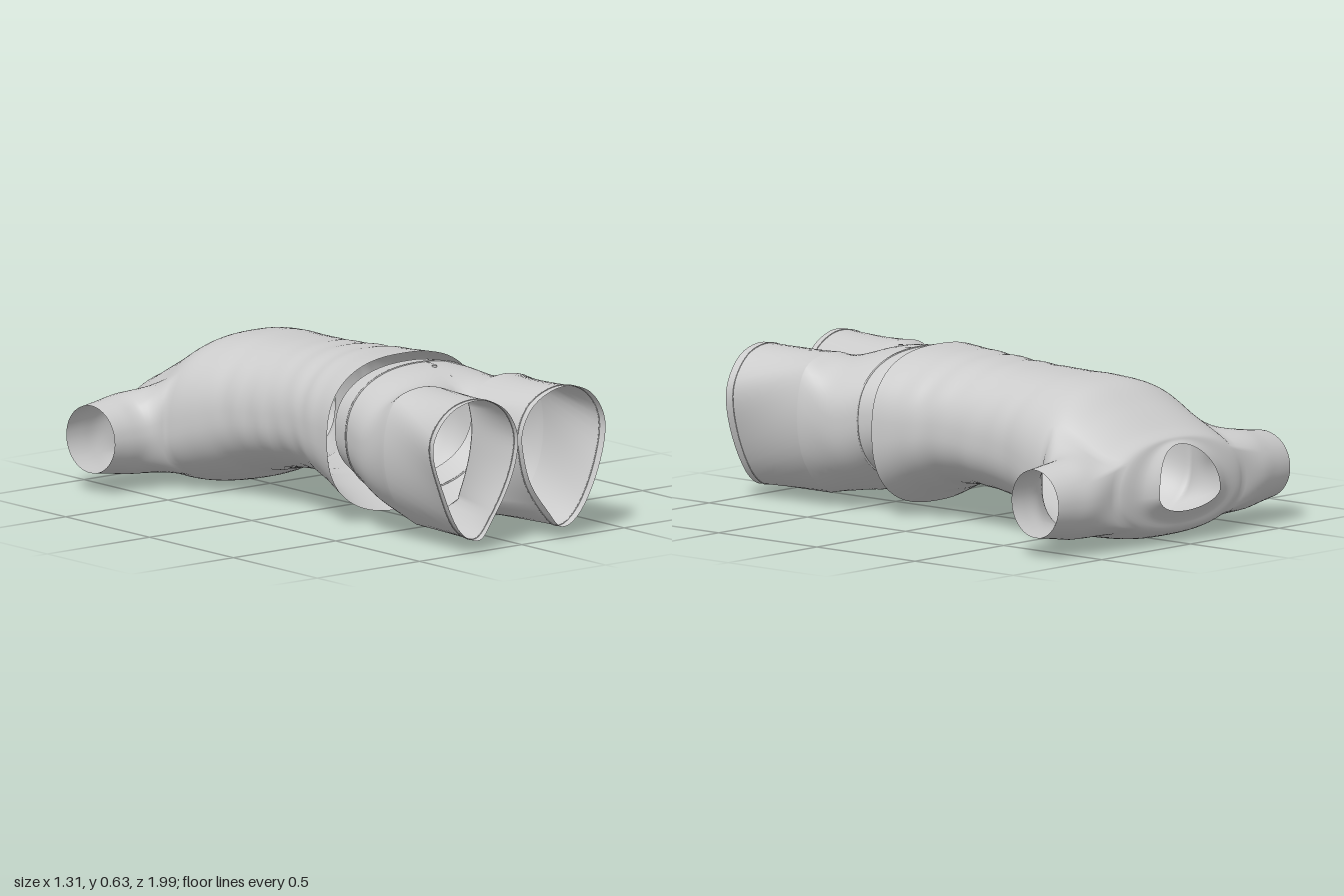
import * as THREE from 'three';
import { mergeGeometries, mergeVertices } from 'three/addons/utils/BufferGeometryUtils.js';

const V = (x, y, z) => new THREE.Vector3(x, y, z);
const cloth = new THREE.MeshStandardMaterial({ color: 0xcccccc, side: THREE.DoubleSide });
const COLS = 35;

// Left half of a body cross-section, running from front centre over +x to back centre
function halfRing([z, w, top, mid, bottom, n = 2.3, dip = 0, backDip = 0], cols = COLS) {
  return Array.from({ length: cols + 1 }, (_, j) => {
    const a = Math.PI * (0.5 - j / cols);
    const c = j === 0 || j === cols ? 0 : Math.cos(a), s = Math.sin(a);
    const x = w * Math.pow(c, 2 / n);
    const k = Math.sign(s) * Math.pow(Math.abs(s), 2 / n);
    const y = mid + k * (s > 0 ? top - mid : mid - bottom);
    return V(x, y, z + (s > 0 ? dip : backDip) * s * s);
  });
}

// Smooth rows of points through a list of rings, "sub" rows per gap
function loft(rings, sub) {
  const rows = Array.from({ length: (rings.length - 1) * sub + 1 }, () => []);
  rings[0].forEach((_, j) => {
    const curve = new THREE.CatmullRomCurve3(rings.map(r => r[j]));
    rows.forEach((row, i) => row.push(curve.getPoint(i / (rows.length - 1))));
  });
  return rows;
}

// Surface over rows of points; skip(i, j) leaves a hole
function sheet(rows, skip = () => false) {
  const n = rows[0].length, index = [];
  for (let i = 0; i < rows.length - 1; i++) {
    for (let j = 0; j < n - 1; j++) {
      if (skip(i, j)) continue;
      const a = i * n + j, b = a + n;
      index.push(a, b, b + 1, a, b + 1, a + 1);
    }
  }
  const g = new THREE.BufferGeometry().setFromPoints(rows.flat());
  return g.setIndex(index);
}

// Mirror half sheets across x = 0 and weld them into one smooth garment
function garment(name, halves) {
  const mirrored = halves.map(g => {
    const m = g.clone().scale(-1, 1, 1);
    m.setIndex(Array.from(g.index.array).reverse());
    return m;
  });
  const geo = mergeVertices(mergeGeometries([...halves, ...mirrored]), 1e-4);
  geo.deleteAttribute('normal');
  geo.computeVertexNormals();
  const mesh = new THREE.Mesh(geo, cloth);
  mesh.name = name;
  return mesh;
}

function cord(name, points, closed, radius) {
  const curve = new THREE.CatmullRomCurve3(points, closed);
  const mesh = new THREE.Mesh(new THREE.TubeGeometry(curve, points.length * 2, radius, 5, closed), cloth);
  mesh.name = name;
  return mesh;
}

function makeShirt() {
  // z, half width, front y, widest y, back y, squareness, front dip, back dip
  const sections = [
    [-0.998, 0.17, 0.38, 0.2, 0.13, 2, 0.055, 0.018],
    [-0.967, 0.24, 0.39, 0.2, 0.09, 2, 0.04, 0.01],
    [-0.94, 0.36, 0.405, 0.21, 0.05, 2.3, 0.025],
    [-0.86, 0.41, 0.43, 0.21, 0.02, 2.4],
    [-0.74, 0.41, 0.505, 0.22, 0.005, 2.4],
    [-0.62, 0.415, 0.575, 0.24, 0.006, 2.4],
    [-0.5, 0.39, 0.595, 0.28, 0.03],
    [-0.35, 0.347, 0.598, 0.32, 0.085],
    [-0.15, 0.327, 0.605, 0.34, 0.125],
    [0.02, 0.33, 0.615, 0.36, 0.13],
    [0.12, 0.345, 0.622, 0.35, 0.105],
    [0.29, 0.37, 0.63, 0.34, 0.03, 2.5],
  ];
  const sub = 6, cols = 40;
  const rows = loft(sections.map(s => halfRing(s, cols)), sub);

  // Soft creases around the waist
  rows.flat().forEach(p => {
    const fade = THREE.MathUtils.smoothstep(p.z, -0.5, -0.3) * (1 - THREE.MathUtils.smoothstep(p.z, 0.1, 0.28));
    const k = 1 + 0.009 * fade * Math.sin(p.z * 48 + p.y * 9) * Math.sin(p.y * 8 + p.z * 5);
    p.x *= k;
    p.y = 0.35 + (p.y - 0.35) * k;
  });

  // Armhole, then a sleeve running from its rim to the cuff
  const r0 = 2 * sub, r1 = 5 * sub, c0 = 12, c1 = 31, rim = [];
  for (let c = c1; c > c0; c--) rim.push(rows[r1][c]);
  for (let r = r1; r > r0; r--) rim.push(rows[r][c0]);
  for (let c = c0; c < c1; c++) rim.push(rows[r0][c]);
  for (let r = r0; r <= r1; r++) rim.push(rows[r][c1]);
  const sleeveRing = (x, cy, cz, ry, rz, lean) => rim.map(p => {
    const a = Math.atan2((p.y - 0.22) / 0.19, (p.z + 0.785) / 0.16);
    return V(x - lean * Math.cos(a), cy + ry * Math.sin(a), cz + rz * Math.cos(a));
  });
  const sleeve = loft([
    rim,
    sleeveRing(0.475, 0.21, -0.796, 0.155, 0.15, 0),
    sleeveRing(0.56, 0.21, -0.793, 0.142, 0.138, 0.005),
    sleeveRing(0.642, 0.21, -0.788, 0.13, 0.13, 0.012),
  ], 5);
  const armhole = (i, j) => i >= r0 && i < r1 && j >= c0 && j < c1;
  return garment('shirt', [sheet(rows, armhole), sheet(sleeve)]);
}

function makeShorts() {
  const group = new THREE.Group();
  group.name = 'shorts';
  // Closed leg outline: eight outer points, then three along the inner thigh
  const legRing = pts => {
    const curve = new THREE.CatmullRomCurve3(pts.map(p => V(...p)), true);
    return Array.from({ length: 56 }, (_, j) => {
      const p = curve.getPoint((j % 55) / 55);
      p.x = Math.max(0, p.x);
      return p;
    });
  };
  const crotch = legRing([
    [0, 0.5, 0.68], [0.1, 0.565, 0.66], [0.22, 0.582, 0.65], [0.34, 0.54, 0.65],
    [0.39, 0.38, 0.65], [0.35, 0.18, 0.65], [0.2, 0.045, 0.65], [0, 0.12, 0.62],
    [0, 0.22, 0.66], [0, 0.32, 0.69], [0, 0.42, 0.7],
  ]);
  const hem = legRing([
    [0.07, 0.53, 0.99], [0.2, 0.585, 0.995], [0.34, 0.55, 0.99], [0.42, 0.43, 0.985],
    [0.375, 0.24, 0.995], [0.28, 0.075, 0.99], [0.2, 0.045, 0.995], [0.13, 0.12, 0.99],
    [0.06, 0.22, 0.985], [0.02, 0.33, 0.99], [0.012, 0.43, 0.99],
  ]);
  const hips = loft([
    halfRing([0.295, 0.335, 0.605, 0.38, 0.15, 2.3, 0.018]),
    halfRing([0.38, 0.35, 0.608, 0.37, 0.11]),
    halfRing([0.5, 0.375, 0.597, 0.35, 0.055]),
    crotch.slice(0, COLS + 1),
  ], 6);
  const legs = loft([crotch, hem], 12);
  group.add(garment('shortsFabric', [sheet(hips), sheet(legs)]));

  // Waistband seam
  const half = hips[6];
  const other = half.slice(1, -1).reverse().map(p => V(-p.x, p.y, p.z));
  group.add(cord('waistbandSeam', [...half, ...other], true, 0.004));

  // Stitched leg hems
  for (const side of [1, -1]) {
    const stitch = legs[11].slice(0, -1).map(p => V(side * p.x, p.y, p.z));
    group.add(cord('legHemSeam', stitch, true, 0.0025));
  }

  // Fly and button
  group.add(cord('fly', [V(0.035, 0.606, 0.39), V(0.035, 0.598, 0.47), V(0.03, 0.576, 0.55)], false, 0.004));
  const button = new THREE.Mesh(new THREE.CylinderGeometry(0.009, 0.009, 0.016, 16), cloth);
  button.name = 'button';
  button.position.set(0.012, 0.602, 0.465);
  group.add(button);
  return group;
}

export function createModel() {
  const model = new THREE.Group();
  model.name = 'outfit';
  model.add(makeShirt(), makeShorts());
  return model;
}
